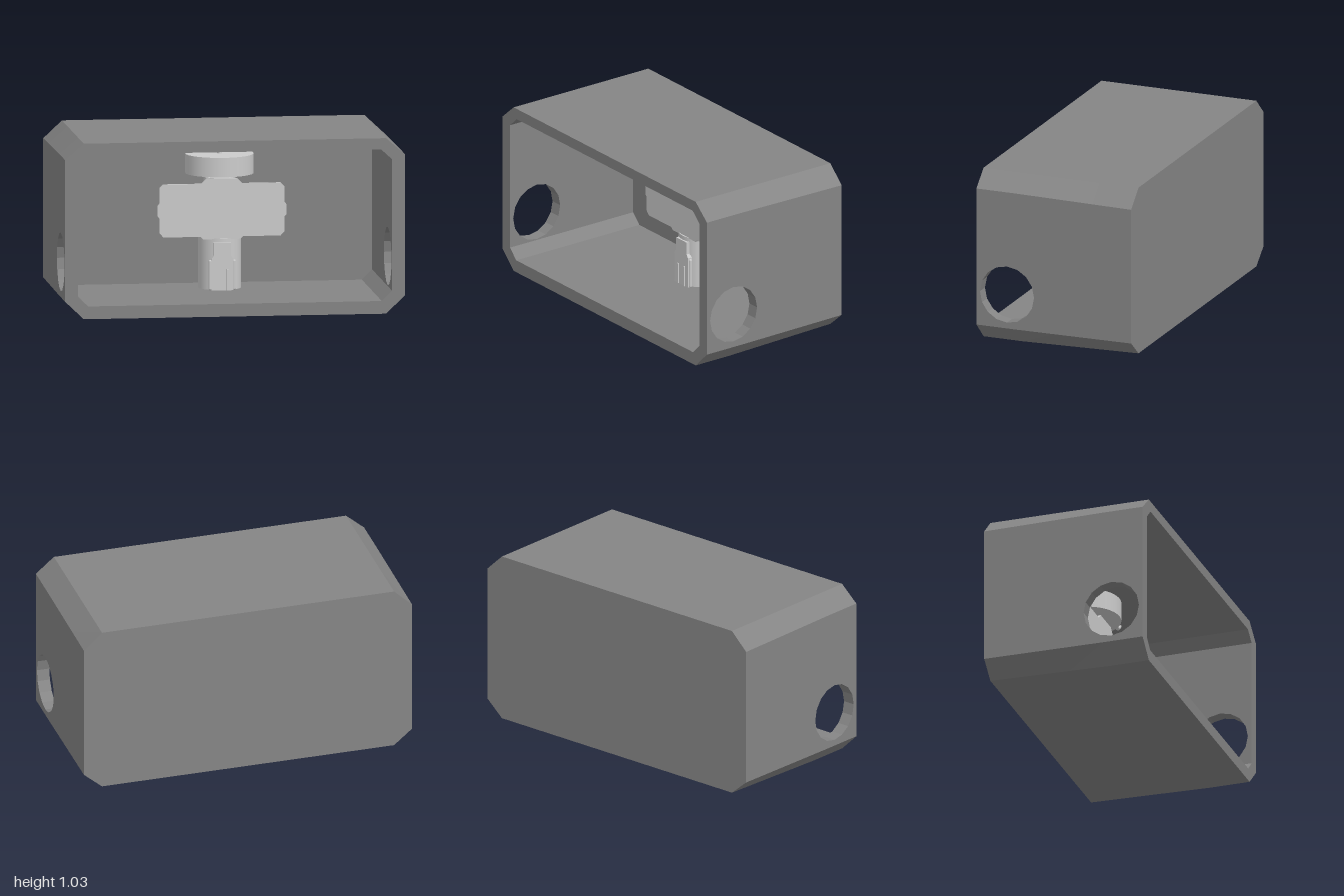
import * as THREE from 'three';

const FRONT = 0.493, BACK = -0.487, INNER_BACK = -0.403;
const AXIS_Z = -0.2; // vertical axis shared by the inner fittings

const lightGrey = new THREE.MeshStandardMaterial({ color: 0xcccccc });
const darkGrey = new THREE.MeshStandardMaterial({ color: 0x858585 });

function add(parent, name, material, geometry, x = 0, y = 0, z = 0) {
  const mesh = new THREE.Mesh(geometry, material);
  mesh.name = name;
  mesh.position.set(x, y, z);
  parent.add(mesh);
}

const shapeOf = pts => new THREE.Shape(pts.map(([x, y]) => new THREE.Vector2(x, y)));

// Completes a right-hand outline with its mirror image
const mirrored = half => [...half, ...half.map(([x, y]) => [-x, y]).reverse()];

// Extrudes a shape from z0 to z1
function slab(shape, z0, z1, steps = 1) {
  const g = new THREE.ExtrudeGeometry(shape, { depth: z1 - z0, steps, bevelEnabled: false });
  return g.translate(0, 0, z0);
}

// The underside rises and the upper corners drop slightly towards the back
function taper(g) {
  const p = g.attributes.position;
  for (let i = 0; i < p.count; i++) {
    const t = Math.max(0, 0.248 - p.getZ(i)) / 0.735, y = p.getY(i);
    if (y < 0.01) p.setY(i, y + 0.018 * t);
    else if (Math.abs(y - 0.105) < 0.003) p.setY(i, y + 0.006 * t);
    else if (Math.abs(y - 0.94) < 0.003) p.setY(i, y - 0.008 * t);
  }
  g.computeVertexNormals();
  return g;
}

function createShell() {
  const shell = new THREE.Group();
  shell.name = 'shell';

  // Ceiling and floor: outer edge across, then back along the inner edge
  const flip = pts => pts.map(([x, y]) => [-x, y]);
  const band = (outer, inner) => shapeOf([...mirrored(outer), ...flip(inner), ...[...inner].reverse()]);
  const ceiling = band([[1, 0.94], [0.89, 1.035]], [[0.925, 0.94], [0.925, 0.91], [0.86, 0.97]]);
  const floor = band([[1, 0.105], [0.89, 0]], [[0.925, 0.105], [0.925, 0.135], [0.865, 0.075]]);
  add(shell, 'ceiling', darkGrey, taper(slab(ceiling, BACK, FRONT, 4)));
  add(shell, 'floor', darkGrey, taper(slab(floor, BACK, FRONT, 4)));

  // Back wall
  const back = mirrored([[0.865, 0.075], [0.925, 0.135], [0.925, 0.91], [0.86, 0.97]]);
  add(shell, 'backWall', darkGrey, slab(shapeOf(back), BACK, INNER_BACK));

  // Side walls with a sixteen-sided opening near the front
  const side = shapeOf([[-FRONT, 0.105], [-0.248, 0.105], [-BACK, 0.111], [-BACK, 0.932], [-0.248, 0.94], [-FRONT, 0.94]]);
  const hole = [];
  for (let i = 0; i < 16; i++) {
    const a = -(i / 16) * Math.PI * 2;
    hole.push(new THREE.Vector2(-0.299 + 0.171 * Math.cos(a), 0.313 + 0.172 * Math.sin(a)));
  }
  side.holes.push(new THREE.Path(hole));
  for (const [name, x] of [['leftWall', 0.925], ['rightWall', -1]]) {
    add(shell, name, darkGrey, slab(side, 0, 0.075).rotateY(Math.PI / 2), x);
  }
  return shell;
}

function createStand() {
  const stand = new THREE.Group();
  stand.name = 'stand';
  add(stand, 'column', lightGrey, new THREE.CylinderGeometry(0.125, 0.125, 0.305, 32), 0, 0.2275, AXIS_Z);

  // Raised front panel with a narrowed upper part
  const panel = mirrored([[0.065, 0.075], [0.065, 0.26], [0.05, 0.28], [0.05, 0.355]]);
  add(stand, 'frontPanel', lightGrey, slab(shapeOf(panel), AXIS_Z, -0.065));
  for (const s of [-1, 1]) {
    add(stand, 'frontRail', lightGrey, new THREE.CapsuleGeometry(0.01, 0.16, 4, 10), s * 0.071, 0.165, -0.078);
    add(stand, 'frontRib', lightGrey, new THREE.BoxGeometry(0.01, 0.125, 0.01), s * 0.03, 0.1375, -0.064);
  }

  // Thin upright plate with notched corners and a tab on top
  const plate = mirrored([
    [0.11, 0.375], [0.125, 0.39], [0.345, 0.39], [0.367, 0.415], [0.367, 0.5], [0.379, 0.515],
    [0.379, 0.575], [0.367, 0.59], [0.367, 0.68], [0.345, 0.702], [0.12, 0.702], [0.09, 0.732],
  ]);
  add(stand, 'plate', lightGrey, slab(shapeOf(plate), -0.1, -0.085));
  add(stand, 'plateMount', lightGrey, new THREE.CylinderGeometry(0.095, 0.1, 0.36, 24), 0, 0.55, AXIS_Z);
  return stand;
}

// Bent rod hanging from a higher surface
function rod(half, bend, top, low) {
  const path = new THREE.CurvePath();
  const pts = [[-half, top], [-half + bend, low], [half - bend, low], [half, top]]
    .map(([x, y]) => new THREE.Vector3(x, y, AXIS_Z));
  for (let i = 0; i < 3; i++) path.add(new THREE.LineCurve3(pts[i], pts[i + 1]));
  return new THREE.TubeGeometry(path, 80, 0.012, 10);
}

function createHanger() {
  const hanger = new THREE.Group();
  hanger.name = 'hanger';
  add(hanger, 'ceilingRod', lightGrey, rod(0.575, 0.027, 0.972, 0.941));
  add(hanger, 'lowerRod', lightGrey, rod(0.25, 0.03, 0.93, 0.893));
  add(hanger, 'upperPin', lightGrey, new THREE.CylinderGeometry(0.01, 0.015, 0.04, 12), 0, 0.877, AXIS_Z);
  add(hanger, 'drum', lightGrey, new THREE.CylinderGeometry(0.2, 0.2, 0.115, 40), 0, 0.808, AXIS_Z);
  add(hanger, 'lowerCollar', lightGrey, new THREE.CylinderGeometry(0.04, 0.04, 0.012, 20), 0, 0.74, AXIS_Z);
  add(hanger, 'lowerPin', lightGrey, new THREE.CylinderGeometry(0.015, 0.015, 0.04, 12), 0, 0.74, AXIS_Z);
  return hanger;
}

export function createModel() {
  const model = new THREE.Group();
  model.name = 'openCabinet';
  model.add(createShell(), createStand(), createHanger());
  return model;
}
